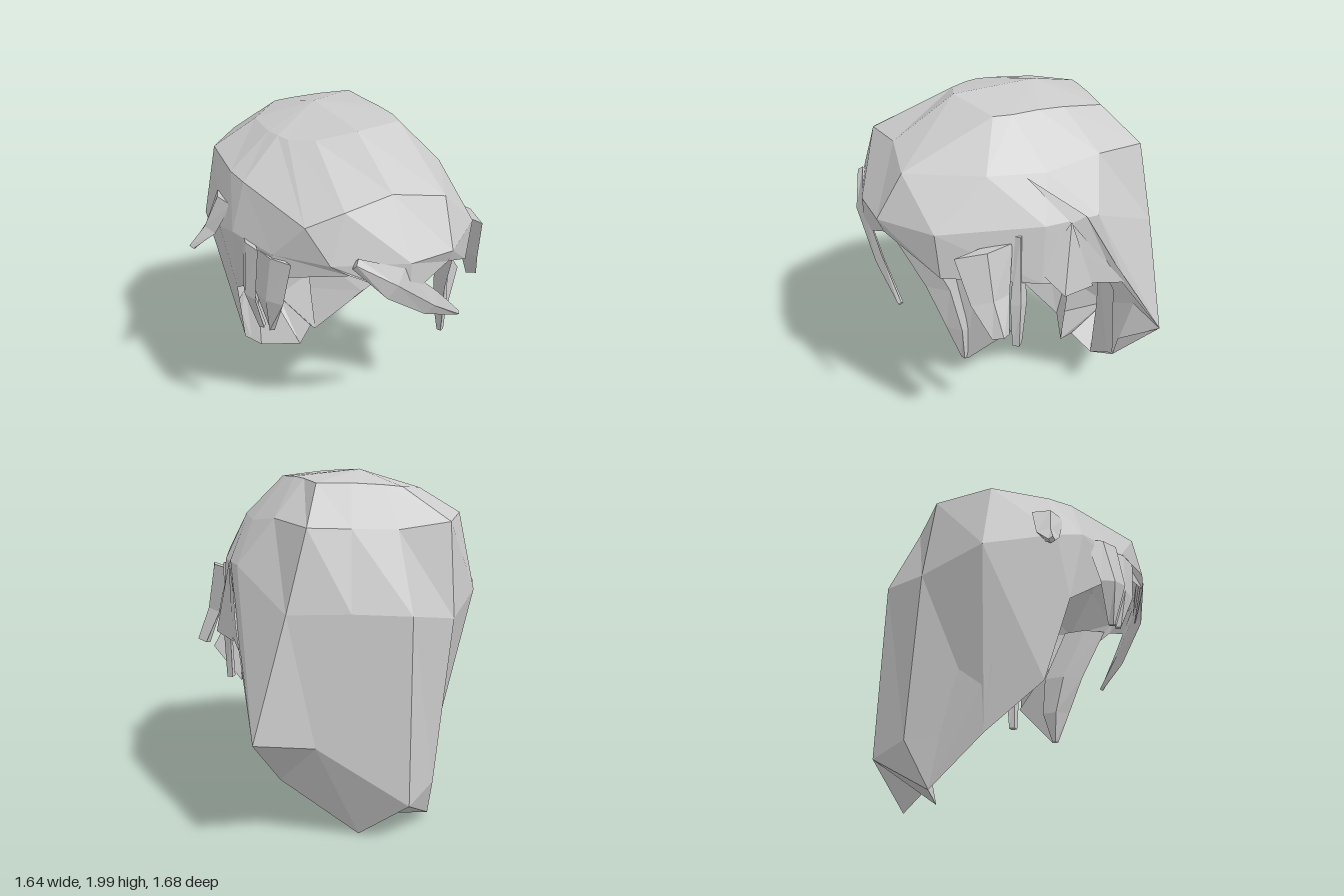
import * as THREE from 'three';

const material = new THREE.MeshStandardMaterial({ color: 0xcccccc, flatShading: true, side: THREE.DoubleSide });

function meshFrom(name, triangles) {
  const geometry = new THREE.BufferGeometry();
  geometry.setAttribute('position', new THREE.Float32BufferAttribute(triangles.flat(2), 3));
  geometry.computeVertexNormals();
  const mesh = new THREE.Mesh(geometry, material);
  mesh.name = name;
  return mesh;
}

// Joins two rows of points with quads, upper row first
function strip(upper, lower, closed = false) {
  const tris = [], n = upper.length;
  for (let i = 0; i < (closed ? n : n - 1); i++) {
    const k = (i + 1) % n;
    tris.push([upper[i], lower[i], lower[k]], [upper[i], lower[k], upper[k]]);
  }
  return tris;
}

function fan(tip, row) {
  return row.map((p, i) => [tip, p, row[(i + 1) % row.length]]);
}

// Tapering lock of hair: spine of [x, y, z, halfWidth], diamond cross-section
function lock(name, spine, across, thickness = 0.025) {
  const wide = new THREE.Vector3(...across).normalize();
  const rings = spine.map(([x, y, z, w], i) => {
    const a = spine[Math.max(i - 1, 0)], b = spine[Math.min(i + 1, spine.length - 1)];
    const along = new THREE.Vector3(b[0] - a[0], b[1] - a[1], b[2] - a[2]).normalize();
    const thin = new THREE.Vector3().crossVectors(along, wide).normalize();
    const t = Math.min(thickness, w);
    return [[w, 0], [0, t], [-w, 0], [0, -t]].map(([u, v]) =>
      new THREE.Vector3(x, y, z).addScaledVector(wide, u).addScaledVector(thin, v).toArray());
  });
  const tris = [];
  for (let i = 0; i + 1 < rings.length; i++) tris.push(...strip(rings[i], rings[i + 1], true));
  const first = rings[0], last = rings[rings.length - 1];
  tris.push([first[0], first[1], first[2]], [first[0], first[2], first[3]]);
  tris.push([last[0], last[2], last[1]], [last[0], last[3], last[2]]);
  return meshFrom(name, tris);
}

export function createModel() {
  const group = new THREE.Group();
  group.name = 'hair';

  // Cap cross-sections, from the front round by the left side
  const crown = [
    [0, 1.99, 0.28], [0.31, 1.96, 0.2], [0.33, 1.96, 0.1], [0.33, 1.96, -0.05],
    [0.33, 1.95, -0.2], [0.35, 1.93, -0.42], [0.17, 1.93, -0.46], [0, 1.92, -0.5], [-0.1, 1.91, -0.52],
    [-0.3, 1.9, -0.35], [-0.33, 1.92, -0.1], [-0.32, 1.93, 0], [-0.3, 1.93, 0.08], [-0.2, 1.95, 0.2]];
  const upper = [
    [0, 1.79, 0.63], [0.28, 1.74, 0.69], [0.5, 1.74, 0.33], [0.56, 1.72, 0.02],
    [0.54, 1.75, -0.3], [0.48, 1.72, -0.61], [0.25, 1.71, -0.64], [0, 1.7, -0.67], [-0.32, 1.73, -0.66],
    [-0.54, 1.76, -0.4], [-0.58, 1.76, -0.05], [-0.57, 1.76, 0.1], [-0.46, 1.7, 0.58], [-0.28, 1.77, 0.65]];
  const brow = [
    [0, 1.5, 0.83], [0.25, 1.5, 0.83], [0.53, 1.5, 0.63], [0.7, 1.5, 0.1],
    [0.72, 1.5, -0.2], [0.605, 1.3, -0.635], [0.3, 1.3, -0.75], [0, 1.28, -0.84], [-0.32, 1.22, -0.72],
    [-0.61, 1.32, -0.47], [-0.67, 1.45, -0.05], [-0.66, 1.5, 0.12], [-0.57, 1.5, 0.43], [-0.38, 1.52, 0.69]];
  const hem = [
    [0, 1.3, 0.83], [0.25, 1.42, 0.8], [0.53, 1.24, 0.61], [0.72, 1.17, 0.12],
    [0.77, 1.05, -0.39], [0.8, 0.65, -0.65], [0.48, 0.6, -0.7], [0, 0.24, -0.84], [-0.21, 0.3, -0.73],
    [-0.42, 0.32, -0.37], [-0.56, 0.6, -0.09], [-0.63, 1.08, 0.04], [-0.57, 1.36, 0.43], [-0.3, 1.47, 0.74]];
  group.add(meshFrom('cap', [
    ...fan([0, 2, -0.2], crown),
    ...strip(crown, upper, true), ...strip(upper, brow, true), ...strip(brow, hem, true)]));

  // Ragged lower edge of the back, with a notch between the two points
  const nape = [[0.65, 0.53, -0.47], [0.6, 0.36, -0.48], [0.19, 0.01, -0.61], [0.1, 0.15, -0.5],
    [0, 0.03, -0.48], [-0.26, 0.04, -0.6], hem[9]];
  const napeTop = [5, 6, 7, 7, 7, 8, 9].map(i => hem[i]);
  group.add(meshFrom('nape', strip(napeTop, nape)));

  // Folded flaps inside the nape
  group.add(meshFrom('leftInnerFlap', [
    ...strip([[0.16, 0.73, -0.64], [0.43, 0.72, -0.57], [0.6, 0.36, -0.48]],
      [[0.17, 0.38, -0.64], [0.53, 0.32, -0.49], [0.6, 0.36, -0.48]]),
    [[0.17, 0.38, -0.64], nape[2], [0.53, 0.32, -0.49]]]));
  group.add(meshFrom('rightInnerFlap', strip(
    [[-0.5, 0.67, -0.36], [-0.22, 0.64, -0.7], [-0.22, 0.64, -0.7]],
    [hem[9], nape[5], nape[4]])));

  // Swept fringe
  group.add(lock('fringe', [[-0.27, 1.53, 0.74, 0.03], [-0.08, 1.4, 0.82, 0.09],
    [0.16, 1.19, 0.81, 0.07], [0.37, 1.03, 0.78, 0.015]], [0.5, 0.8, 0]));

  // Left side locks
  group.add(lock('leftTempleLock', [[0.36, 1.45, 0.66, 0.14], [0.44, 1.1, 0.52, 0.13],
    [0.49, 0.85, 0.48, 0.09], [0.51, 0.65, 0.48, 0.02]], [0.45, 0, -0.9], 0.04));
  group.add(meshFrom('leftCheekLock', strip(
    [[0.47, 1.2, 0.5], [0.55, 1.18, 0.43], [0.74, 0.94, 0.31]],
    [[0.5, 0.66, 0.5], [0.53, 0.65, 0.47], [0.74, 0.94, 0.31]])));
  group.add(lock('leftOuterLock', [[0.65, 1.42, 0.42, 0.16], [0.7, 1.15, 0.41, 0.11],
    [0.78, 0.96, 0.39, 0.05]], [0, 0, 1], 0.04));
  group.add(lock('leftThinLock', [[0.66, 1.46, 0.23, 0.02], [0.67, 1.05, 0.23, 0.05],
    [0.66, 0.76, 0.23, 0.03]], [0, 0, 1]));
  group.add(meshFrom('leftEarFlap', fan([0.79, 1.1, 0.02],
    [[0.72, 1.5, -0.04], [0.7, 1.25, 0.14], [0.72, 1.12, 0.03], [0.75, 1.08, -0.18]])));

  // Layered edge sweeping down to the left rear corner
  group.add(meshFrom('leftSweep', strip(
    [[0.56, 1.72, 0.14], [0.73, 1.52, -0.12], [0.77, 1.2, -0.3], hem[5]],
    [[0.56, 1.72, 0.14], [0.72, 1.49, -0.04], [0.75, 1.17, -0.28], hem[5]])));

  // Right side locks
  group.add(lock('rightTempleLock', [[-0.56, 1.48, 0.42, 0.12], [-0.59, 1.22, 0.4, 0.1],
    [-0.57, 0.99, 0.37, 0.02]], [0.35, 0, 0.9]));
  group.add(lock('rightOuterLock', [[-0.62, 1.5, 0.26, 0.1], [-0.66, 1.22, 0.3, 0.08],
    [-0.6, 0.98, 0.31, 0.02]], [0, 0, 1]));
  group.add(lock('rightTuft', [[-0.62, 1.6, -0.08, 0.1], [-0.7, 1.41, -0.12, 0.07],
    [-0.81, 1.3, -0.15, 0.02]], [0, 0, 1], 0.04));
  return group;
}
